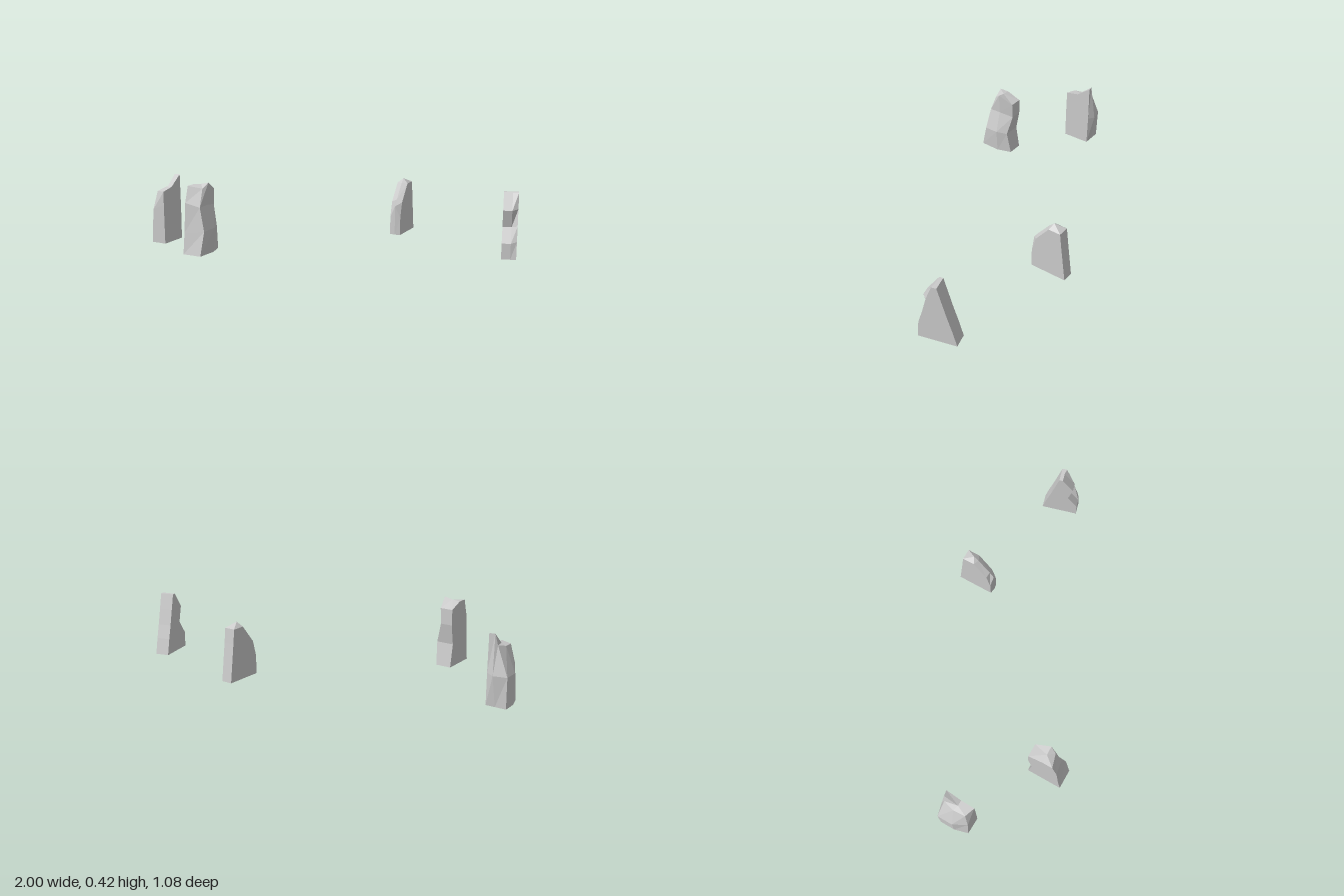
import * as THREE from 'three';

const material = new THREE.MeshStandardMaterial({ color: 0xcccccc, flatShading: true });

// Skin a stone through rings of [x, y, z] corners (front-left first, counter-clockwise from above).
function loftStone(name, rings, apex) {
  const pos = [];
  const tri = (a, b, c) => pos.push(...a, ...b, ...c);
  const n = rings[0].length;
  const top = rings[rings.length - 1];
  const base = rings[0];
  for (let j = 0; j < n; j++) {
    const k = (j + 1) % n;
    for (let i = 0; i < rings.length - 1; i++) {
      const lo = rings[i], hi = rings[i + 1];
      tri(lo[j], lo[k], hi[k]);
      tri(lo[j], hi[k], hi[j]);
    }
    tri(top[j], top[k], apex);
    if (j > 0 && j < n - 1) tri(base[0], base[k], base[j]);
  }
  const geometry = new THREE.BufferGeometry();
  geometry.setAttribute('position', new THREE.Float32BufferAttribute(pos, 3));
  geometry.computeVertexNormals();
  const mesh = new THREE.Mesh(geometry, material);
  mesh.name = name;
  return mesh;
}

export function createModel() {
  const group = new THREE.Group();
  group.name = 'standingStones';

  // Far right stone: flat inner side, low front, thin peak at the back
  group.add(loftStone('steppedStone', [
    [[-0.98, 0, 0.235], [-0.89, 0, 0.237], [-0.89, 0, 0.16], [-0.89, 0, 0.08],
      [-0.94, 0, 0.08], [-1, 0, 0.08], [-1, 0, 0.16]],
    [[-0.965, 0.19, 0.235], [-0.89, 0.225, 0.237], [-0.89, 0.18, 0.16], [-0.89, 0.17, 0.078],
      [-0.93, 0.165, 0.058], [-1, 0.165, 0.075], [-1, 0.165, 0.16]],
    [[-0.945, 0.295, 0.215], [-0.89, 0.298, 0.235], [-0.89, 0.312, 0.16], [-0.89, 0.372, 0.08],
      [-0.92, 0.372, 0.085], [-0.935, 0.315, 0.09], [-0.95, 0.3, 0.15]],
  ], [-0.92, 0.308, 0.16]));

  // Front stone: bulging side, waisted back, cross ridge on top
  group.add(loftStone('waistedStone', [
    [[-0.545, 0.055, 0.537], [-0.44, 0.055, 0.537], [-0.435, 0.055, 0.425],
      [-0.46, 0.055, 0.345], [-0.545, 0.055, 0.345], [-0.545, 0.055, 0.425]],
    [[-0.545, 0.165, 0.522], [-0.433, 0.18, 0.507], [-0.426, 0.185, 0.425],
      [-0.45, 0.18, 0.366], [-0.545, 0.18, 0.366], [-0.545, 0.18, 0.425]],
    [[-0.545, 0.32, 0.507], [-0.465, 0.3, 0.493], [-0.46, 0.305, 0.425],
      [-0.48, 0.29, 0.345], [-0.545, 0.29, 0.345], [-0.545, 0.3, 0.425]],
    [[-0.545, 0.405, 0.48], [-0.47, 0.393, 0.458], [-0.455, 0.42, 0.425],
      [-0.475, 0.375, 0.345], [-0.545, 0.375, 0.345], [-0.545, 0.405, 0.425]],
  ], [-0.5, 0.41, 0.425]));

  // Rear stone: mirrored rings of [y, side front z, centre front z, side back z]
  const rearRings = [
    [[0.058, -0.34], [0.058, -0.335], [0.058, -0.54]],
    [[0.155, -0.34], [0.22, -0.333], [0.2, -0.521]],
    [[0.24, -0.362], [0.255, -0.357], [0.26, -0.513]],
    [[0.335, -0.437], [0.337, -0.424], [0.335, -0.504]],
  ].map(([side, mid, back]) => [
    [0.235, ...side], [0.265, ...mid], [0.295, ...side],
    [0.295, ...back], [0.265, ...back], [0.235, ...back],
  ]);
  group.add(loftStone('pointedStone', rearRings, [0.265, 0.36, -0.45]));

  // Far left stone: wedge with a notch in its front, slightly turned
  // Each ring: left front [y, z], right front [y, z], back [y, z]
  const w = 0.038;
  const wedgeRings = [
    [[0.042, 0.1], [0.042, 0.1], [0.042, -0.1]],
    [[0.125, 0.1], [0.135, 0.092], [0.13, -0.078]],
    [[0.2, 0.045], [0.21, 0.068], [0.205, -0.056]],
    [[0.29, 0.07], [0.295, 0.045], [0.29, -0.034]],
    [[0.375, 0.008], [0.375, 0.014], [0.375, -0.012]],
  ].map(([left, right, back]) => [
    [-w, ...left], [0.008, ...left], [w, ...right], [w, ...back], [-w, ...back],
  ]);
  const wedge = loftStone('notchedStone', wedgeRings, [0, 0.375, 0]);
  wedge.position.set(0.935, 0, -0.274);
  wedge.rotation.y = 0.27;
  group.add(wedge);

  return group;
}
